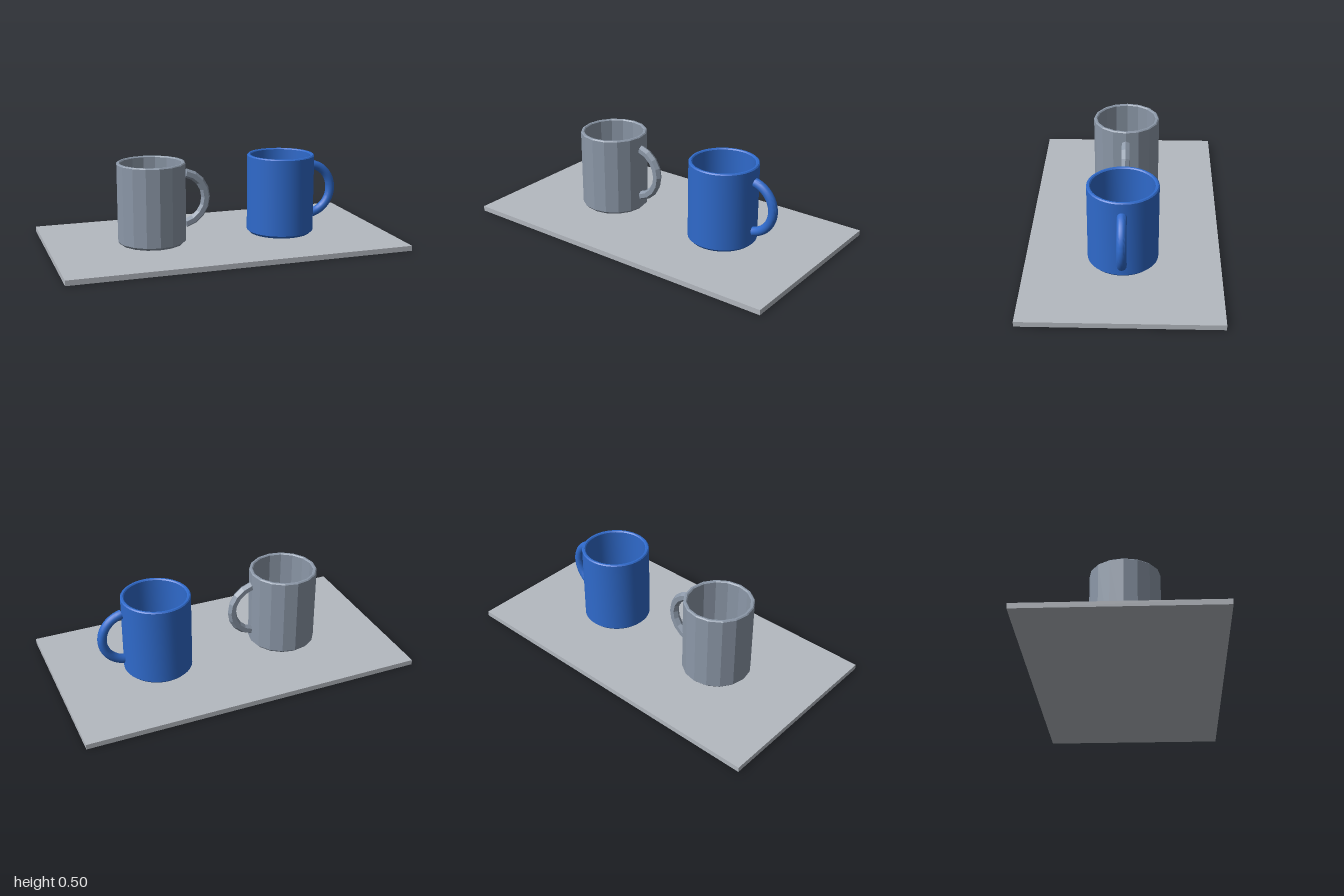
import * as THREE from 'three';
import { toCreasedNormals } from 'three/addons/utils/BufferGeometryUtils.js';

const BASE_H = 0.03;

// Mug cross-section: underside, bevelled foot, outer wall, rim, inner wall, inner floor
const PROFILE = [
  [0, 0.03], [0.185, 0.03], [0.2, 0.045], [0.2, 0.499], [0.194, 0.505],
  [0.184, 0.505], [0.178, 0.499], [0.178, 0.072], [0.166, 0.06], [0, 0.06],
].map(([x, y]) => new THREE.Vector2(x, y));

// One mug with its handle on the +x side; faceted or smooth
function makeMug(name, material, x, sides, tubeSides, arcSteps, smooth) {
  const mug = new THREE.Group();
  mug.name = name;
  mug.position.x = x;
  const finish = (g) => (smooth ? toCreasedNormals(g, 0.5) : toCreasedNormals(g, 0.01));

  const body = new THREE.Mesh(finish(new THREE.LatheGeometry(PROFILE, sides)), material);
  body.name = 'mugBody';

  // C-shaped handle, ends stopping just short of the wall
  const half = THREE.MathUtils.degToRad(78);
  const R = 0.153, r = 0.027;
  const handle = new THREE.Group();
  handle.name = 'handle';
  handle.position.set(0.175, 0.277, 0);
  const arc = new THREE.Mesh(finish(new THREE.TorusGeometry(R, r, tubeSides, arcSteps, half * 2)), material);
  arc.name = 'handleArc';
  arc.rotation.z = -half;
  handle.add(arc);

  // Flat caps on both handle ends
  for (const s of [1, -1]) {
    const cap = new THREE.Mesh(new THREE.CircleGeometry(r, tubeSides), material);
    cap.name = 'handleEnd';
    const pivot = new THREE.Group();
    pivot.rotation.z = s * half;
    cap.position.x = R;
    cap.rotation.x = -s * Math.PI / 2;
    pivot.add(cap);
    handle.add(pivot);
  }
  mug.add(body, handle);
  return mug;
}

export function createModel() {
  const slabGrey = new THREE.MeshStandardMaterial({ color: 0xb4b9c0 });
  slabGrey.name = 'slabGrey';
  const mugGrey = new THREE.MeshStandardMaterial({ color: 0x8c98a8 });
  mugGrey.name = 'mugGrey';
  const mugBlue = new THREE.MeshStandardMaterial({ color: 0x2f6acb });
  mugBlue.name = 'mugBlue';

  const model = new THREE.Group();
  model.name = 'twoMugsOnBoard';

  const board = new THREE.Mesh(new THREE.BoxGeometry(2, BASE_H, 1.1), slabGrey);
  board.name = 'board';
  board.position.y = BASE_H / 2;

  model.add(
    board,
    makeMug('facetedMug', mugGrey, -0.4, 16, 6, 8, false),
    makeMug('smoothMug', mugBlue, 0.4, 48, 16, 32, true),
  );
  return model;
}
